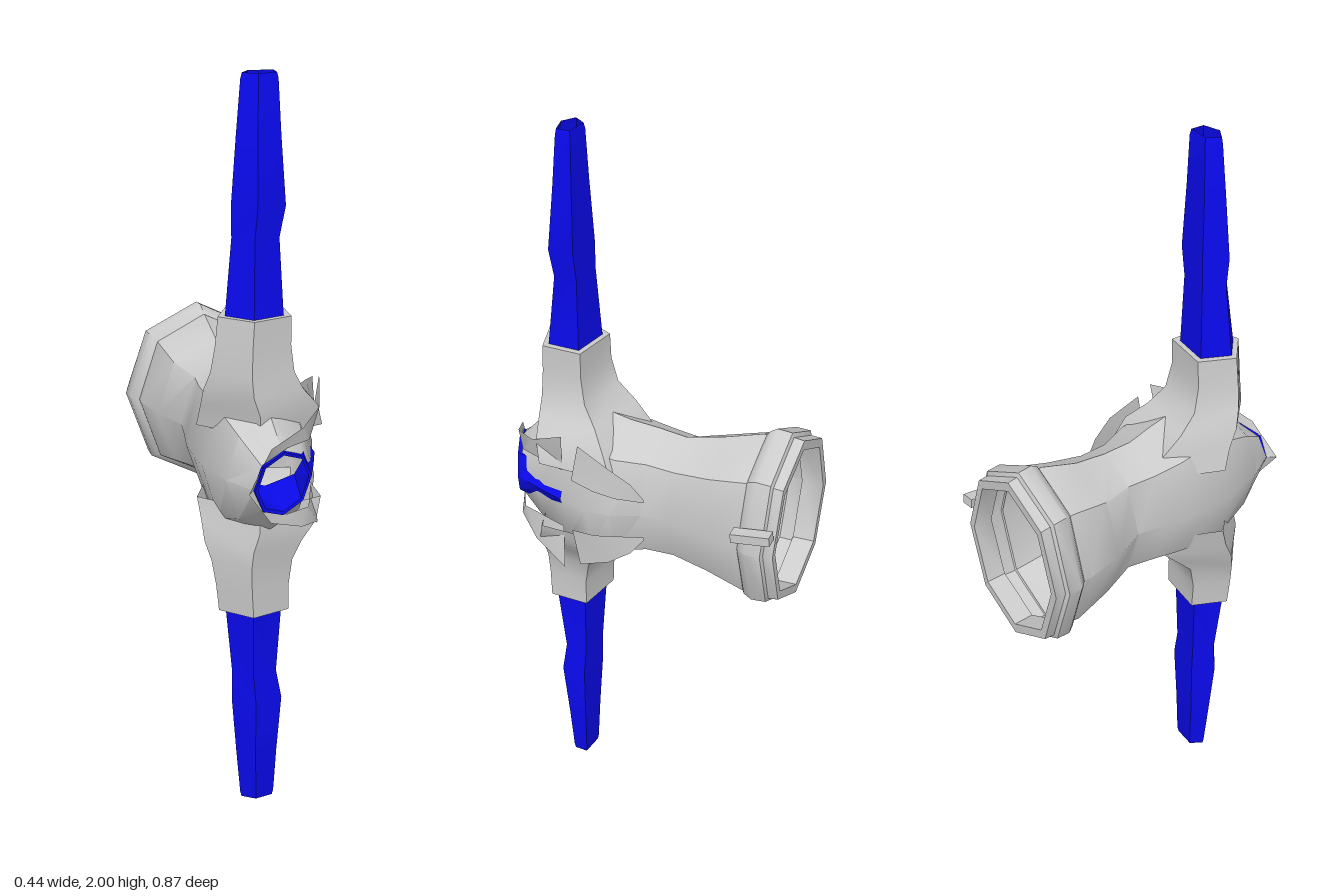
import * as THREE from 'three';
import { toCreasedNormals } from 'three/addons/utils/BufferGeometryUtils.js';

const grey = new THREE.MeshStandardMaterial({ color: 0xcccccc, side: THREE.DoubleSide });
const blue = new THREE.MeshStandardMaterial({ color: 0x0a0aee, side: THREE.DoubleSide });

// Skin a surface over a list of rings (each a list of [x, y, z])
function loft(rings, closed = true) {
  const n = rings[0].length, index = [];
  for (let i = 0; i < rings.length - 1; i++) {
    for (let j = 0; j < (closed ? n : n - 1); j++) {
      const a = i * n + j, b = i * n + (j + 1) % n;
      index.push(a, b, a + n, b, b + n, a + n);
    }
  }
  const geo = new THREE.BufferGeometry();
  geo.setAttribute('position', new THREE.Float32BufferAttribute(rings.flat(2), 3));
  geo.setIndex(index);
  return toCreasedNormals(geo, Math.PI / 4.5);
}

function part(name, geo, material) {
  const mesh = new THREE.Mesh(geo, material);
  mesh.name = name;
  return mesh;
}

// Eight-sided ring facing z, from xL to xR, leaning in z by slope * x
function ductRing([z, xL, xR, ry, slope = 0]) {
  return Array.from({ length: 8 }, (_, i) => {
    const a = (i / 8) * Math.PI * 2;
    const x = (xL + xR) / 2 + ((xR - xL) / 2) * Math.cos(a);
    return [x, 1 + ry * Math.sin(a), z + slope * x];
  });
}

// Five-sided ring facing y
const pentagon = [[-0.097, 0.005], [-0.045, -0.085], [0.088, -0.055], [0.08, 0.055], [-0.025, 0.08]];
const armRing = ([y, cx, cz, sx, sz]) => pentagon.map(([x, z]) => [cx + x * sx, y, cz + z * sz]);

export function createModel() {
  const model = new THREE.Group();

  // Hollow duct running from the rear flange to the front mouth
  model.add(part('duct', loft([
    [-0.38, -0.19, 0.185, 0.235, 0.06],
    [-0.31, -0.2, 0.185, 0.24],
    [-0.2, -0.18, 0.16, 0.205],
    [-0.1, -0.14, 0.133, 0.186],
    [-0.02, -0.155, 0.13, 0.192],
    [0.06, -0.172, 0.16, 0.205],
    [0.13, -0.174, 0.158, 0.22],
    [0.21, -0.174, 0.128, 0.215],
    [0.31, -0.145, 0.095, 0.16, -0.1],
    [0.38, -0.1, 0.067, 0.082, -0.33],
  ].map(ductRing)), grey));

  // Stepped flange around the open rear end
  model.add(part('rearFlange', loft([
    [-0.315, -0.19, 0.18, 0.235, 0.06],
    [-0.325, -0.208, 0.19, 0.25, 0.08],
    [-0.345, -0.22, 0.2, 0.262, 0.06],
    [-0.385, -0.22, 0.2, 0.258, 0.06],
    [-0.39, -0.208, 0.19, 0.246, 0.06],
    [-0.418, -0.208, 0.19, 0.242, 0.07],
    [-0.418, -0.185, 0.17, 0.215, 0.07],
    [-0.36, -0.185, 0.17, 0.215, 0.06],
  ].map(ductRing)), grey));

  // Small latch on the side of the flange
  const latch = part('flangeLatch', new THREE.BoxGeometry(0.035, 0.025, 0.105), grey);
  latch.position.set(0.2, 1.06, -0.35);
  latch.rotation.x = 0.12;
  model.add(latch);

  // Tapered nozzle with a slanted rim in the front mouth
  model.add(part('nozzle', loft([
    [0.21, -0.14, 0.135, 0.086],
    [0.3, -0.115, 0.103, 0.088, -0.1],
    [0.388, -0.1, 0.07, 0.085, -0.33],
    [0.386, -0.09, 0.062, 0.076, -0.33],
    [0.21, -0.115, 0.112, 0.078],
  ].map(ductRing)), blue));

  // Upper half, mirrored below
  for (const side of ['upper', 'lower']) {
    const half = new THREE.Group();
    half.name = side + 'Half';

    // Flared socket with a lip turned inward
    half.add(part('socket', loft([
      [1.1, -0.008, 0.165, 1.75, 1.9],
      [1.16, -0.015, 0.185, 1.62, 1.8],
      [1.21, -0.038, 0.21, 1.37, 1.5],
      [1.26, -0.046, 0.23, 1.15, 1.15],
      [1.33, -0.046, 0.236, 1.04, 1.02],
      [1.405, -0.042, 0.235, 1, 1],
      [1.405, -0.042, 0.235, 0.8, 0.8],
      [1.36, -0.042, 0.235, 0.8, 0.8],
    ].map(armRing)), grey));

    // Long tapered arm, swelling part way and open at the tip
    half.add(part('arm', loft([
      [1.33, -0.043, 0.236, 0.82, 0.82],
      [1.4, -0.043, 0.236, 0.8, 0.8],
      [1.6, -0.037, 0.228, 0.65, 0.58],
      [1.68, -0.031, 0.233, 0.74, 0.64],
      [1.85, -0.029, 0.228, 0.61, 0.48],
      [1.985, -0.026, 0.224, 0.51, 0.38],
      [2.0, -0.026, 0.224, 0.47, 0.34],
    ].map(armRing)), blue));

    // Collar petal sweeping back from a point beside the nozzle
    half.add(part('collarPetal', loft([
      [[-0.1, 1, 0.41], [-0.07, 1.065, 0.405], [0.0, 1.09, 0.378], [0.07, 1.092, 0.345], [0.127, 1.09, 0.205]],
      [[-0.12, 1, 0.433], [-0.05, 1.1, 0.4], [0.045, 1.135, 0.368], [0.115, 1.16, 0.295], [0.15, 1.21, 0.195]],
    ], false), grey));

    // Pointed side plate behind the collar
    half.add(part('sidePlate', loft([
      [[0.148, 1.19, 0.15], [0.163, 1.15, 0.06], [0.155, 1.11, 0.0], [0.147, 1.065, -0.035]],
      [[0.15, 1.08, 0.17], [0.166, 1.07, 0.1], [0.163, 1.06, 0.04], [0.147, 1.055, -0.035]],
    ], false), grey));

    if (side === 'lower') {
      half.scale.y = -1;
      half.position.y = 2;
    }
    model.add(half);
  }

  return model;
}
